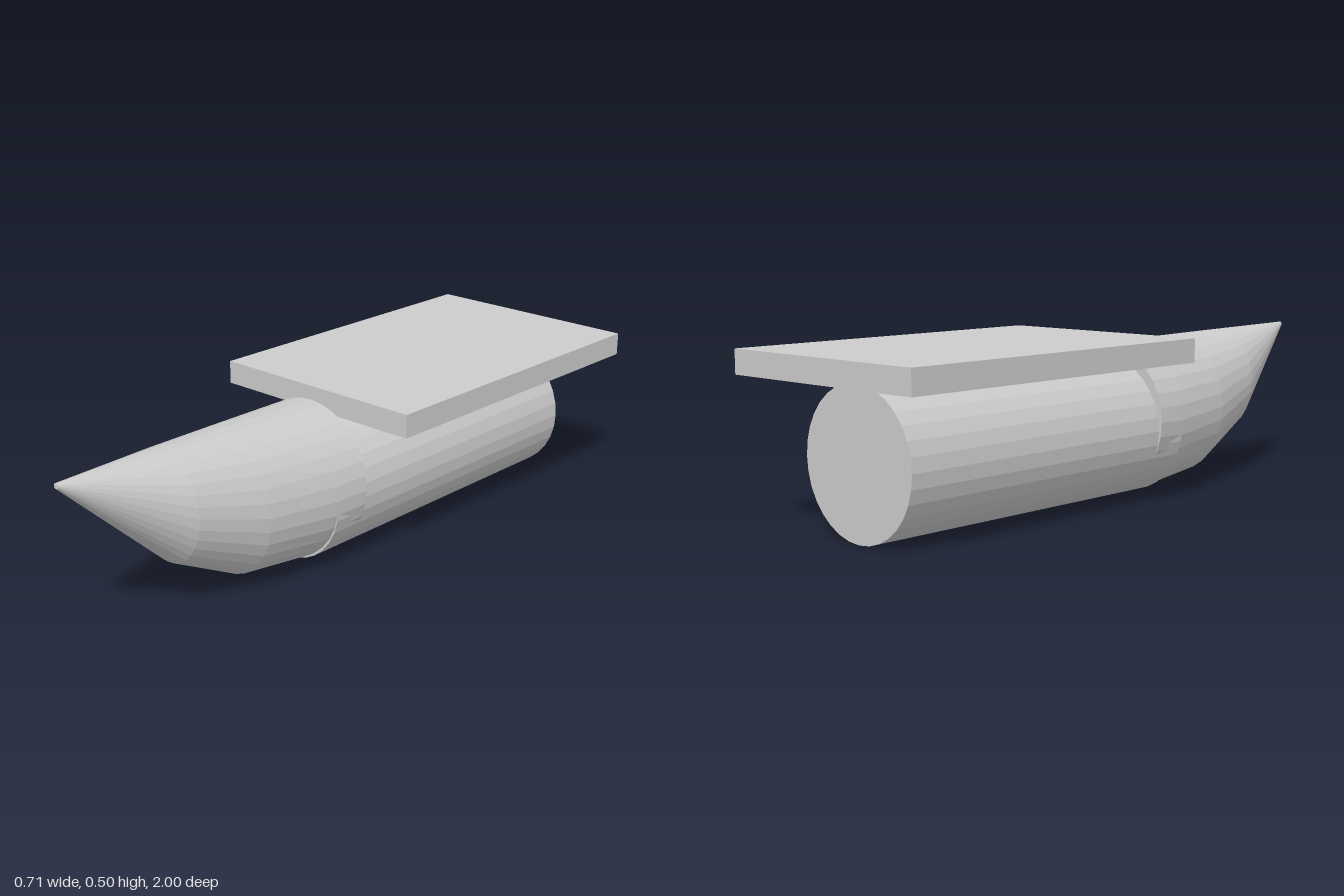
import * as THREE from 'three';

const SIDES = 32;

// Sections of the upswept nose, back to tip: [z, bottom y, top y, half width]
const NOSE = [
  [0.082, 0.016, 0.465, 0.224],
  [0.2, 0.006, 0.467, 0.214],
  [0.43, 0.03, 0.471, 0.184],
  [0.65, 0.139, 0.474, 0.138],
  [1.0, 0.462, 0.478, 0.008],
];

// Closed tube along z, with each row reshaped to an elliptical section
function noseGeometry() {
  const rows = NOSE.length - 1;
  const geo = new THREE.CylinderGeometry(1, 1, 1, SIDES, rows);
  geo.rotateX(Math.PI / 2);
  const p = geo.attributes.position;
  for (let i = 0; i < p.count; i++) {
    const [z, bottom, top, halfWidth] = NOSE[Math.round((p.getZ(i) + 0.5) * rows)];
    const y = (bottom + top) / 2 + p.getY(i) * (top - bottom) / 2;
    p.setXYZ(i, p.getX(i) * halfWidth, y, z);
  }
  geo.computeVertexNormals();
  return geo;
}

export function createModel() {
  const model = new THREE.Group();
  const material = new THREE.MeshStandardMaterial({ color: 0xcccccc, flatShading: true });
  const add = (name, geometry, x = 0, y = 0, z = 0) => {
    const mesh = new THREE.Mesh(geometry, material);
    mesh.name = name;
    mesh.position.set(x, y, z);
    model.add(mesh);
  };

  // Pontoon body, running into the nose at the front
  const body = new THREE.CylinderGeometry(0.213, 0.213, 1.07, SIDES).rotateX(Math.PI / 2);
  add('pontoonBody', body, 0, 0.213, -0.345);

  // Pointed, upswept bow
  add('pontoonNose', noseGeometry());

  // Flat deck on top
  add('deck', new THREE.BoxGeometry(0.712, 0.07, 1.067), 0, 0.465, -0.4665);

  return model;
}
